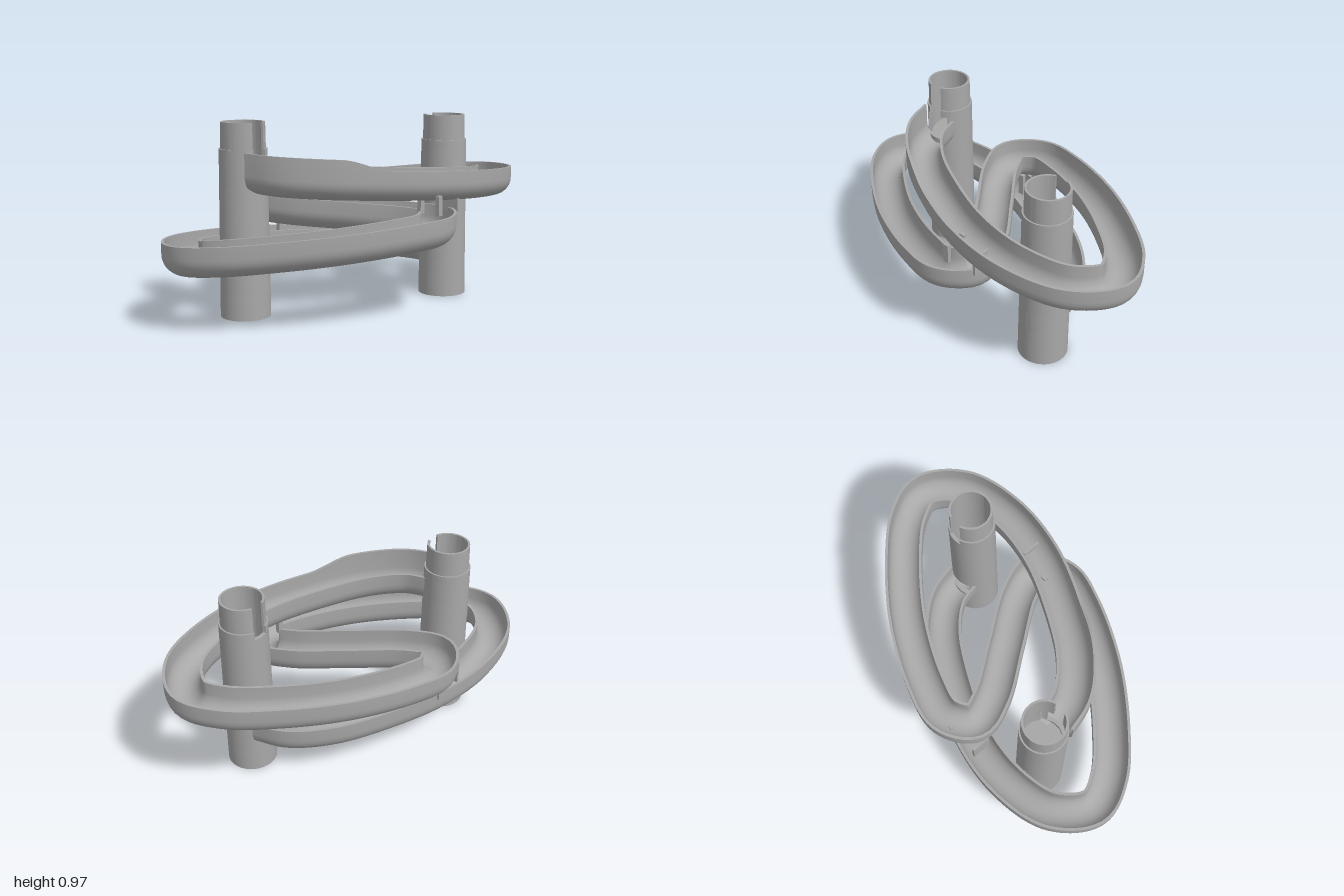
import * as THREE from 'three';
import { toCreasedNormals } from 'three/addons/utils/BufferGeometryUtils.js';

const grey = new THREE.MeshStandardMaterial({ color: 0xa8a8a8, side: THREE.DoubleSide });
grey.name = 'grey plastic';

function add(parent, geometry, name) {
  const mesh = new THREE.Mesh(geometry, grey);
  mesh.name = name;
  parent.add(mesh);
  return mesh;
}

// Tube band with an optional gap (half angle) facing the direction phi
function addBand(parent, name, rIn, rBottom, rTop, y0, y1, gap, phi) {
  const p = [[rIn, y0], [rBottom, y0], [rTop, y1], [rIn, y1], [rIn, y0]].map(([r, y]) => new THREE.Vector2(r, y));
  const lathe = new THREE.LatheGeometry(p, 64, phi + gap, Math.PI * 2 - 2 * gap);
  add(parent, toCreasedNormals(lathe, 0.6), name);
  if (!gap) return;
  for (const side of [-1, 1]) {
    const cap = new THREE.ShapeGeometry(new THREE.Shape(p.slice(0, 4)));
    cap.rotateY(phi + side * gap - Math.PI / 2);
    add(parent, cap, name + 'SlotEdge');
  }
}

// Hollow tower: socket foot, window for the track, notched spigot
function makeTower(name, x, z, phi, windowBottom, windowTop) {
  const tower = new THREE.Group();
  tower.name = name;
  tower.position.set(x, 0, z);
  const radius = (y) => 0.126 - 0.007 * (y / 0.84);
  const body = (y0, y1, gap, rIn = 0.1) => addBand(tower, 'towerBody', rIn, radius(y0), radius(y1), y0, y1, gap, phi);
  body(0, 0.13, 0, 0.113);
  body(0.13, windowBottom, 0);
  body(windowBottom, windowTop, 0.62);
  if (windowTop < 0.8) body(windowTop, 0.8, 0);
  body(0.8, 0.84, 0.33);
  addBand(tower, 'spigot', 0.098, 0.111, 0.109, 0.84, 0.97, 0.33, phi);
  return tower;
}

// Plan of the track; the second half is the first turned half way round
const half = [
  [-0.15, 0.52], [0, 0.475], [0.155, 0.335], [0.295, 0.1], [0.415, -0.2], [0.45, -0.5], [0.385, -0.77],
  [0.217, -0.902], [0.06, -0.845], [-0.115, -0.675], [-0.315, -0.4], [-0.455, -0.09], [-0.487, 0.09],
  [-0.395, 0.212], [-0.25, 0.172],
];
const plan = [...half, [0, 0], ...half.slice().reverse().map(([x, z]) => [-x, -z])];

// U-shaped cross-section as a closed loop of [sideways, up]
function channelSection() {
  const r = 0.095, wall = 0.014, height = 0.157, n = 16;
  const arc = (radius) => Array.from({ length: n + 1 }, (_, i) => {
    const a = Math.PI * (i / n);
    return [-radius * Math.cos(a), r - radius * Math.sin(a)];
  });
  return [
    [-r, height], ...arc(r), [r, height],
    [r - wall, height], ...arc(r - wall).reverse(), [-r + wall, height],
  ];
}

function makeTrack() {
  const curve = new THREE.CatmullRomCurve3(plan.map(([x, z]) => new THREE.Vector3(x, 0, z)), false, 'centripetal');
  curve.arcLengthDivisions = 1200;
  const total = curve.getLength(), steps = 320;
  const section = channelSection(), n = section.length;
  const positions = [], index = [];
  for (let i = 0; i <= steps; i++) {
    const u = i / steps;
    const c = curve.getPointAt(u), t = curve.getTangentAt(u);
    const base = 0.625 - 0.47 * u;
    // the outer wall stands taller where the track leaves the first tower
    const raise = 0.048 * (1 - THREE.MathUtils.smoothstep(u * total, 0.42, 0.66));
    for (const [s, v] of section) {
      const y = base + v + (s > 0 && v > 0.12 ? raise : 0);
      positions.push(c.x - t.z * s, y, c.z + t.x * s);
    }
    if (i === steps) continue;
    for (let j = 0; j < n; j++) {
      const a = i * n + j, b = i * n + (j + 1) % n;
      index.push(a, a + n, b, b, a + n, b + n);
    }
  }
  const geometry = new THREE.BufferGeometry();
  geometry.setAttribute('position', new THREE.Float32BufferAttribute(positions, 3));
  geometry.setIndex(index);
  return toCreasedNormals(geometry, 0.6);
}

export function createModel() {
  const model = new THREE.Group();
  model.name = 'marbleRun';

  const entry = makeTower('entryTower', -0.227, 0.52, Math.PI / 2, 0.665, 0.8);
  const exit = makeTower('exitTower', 0.227, -0.52, -Math.PI / 2, 0.195, 0.31);
  model.add(entry, exit);

  // Sloping floor that sends the marble into the track
  const floor = add(entry, new THREE.CylinderGeometry(0.106, 0.106, 0.015, 48), 'entryFloor');
  floor.position.y = 0.66;
  floor.rotation.z = -0.25;

  add(model, makeTrack(), 'track');

  // Thin struts where one level of track passes over another
  for (const [side, y0, y1] of [[1, 0.5, 0.6], [-1, 0.34, 0.46]]) {
    for (const [x, z, w, d] of [[0.435, -0.295, 0.1, 0.014], [0.375, -0.125, 0.022, 0.03], [0.487, -0.125, 0.022, 0.03]]) {
      const strut = add(model, new THREE.BoxGeometry(w, y1 - y0, d), 'strut');
      strut.position.set(side * x, (y0 + y1) / 2, side * z);
    }
  }
  return model;
}
